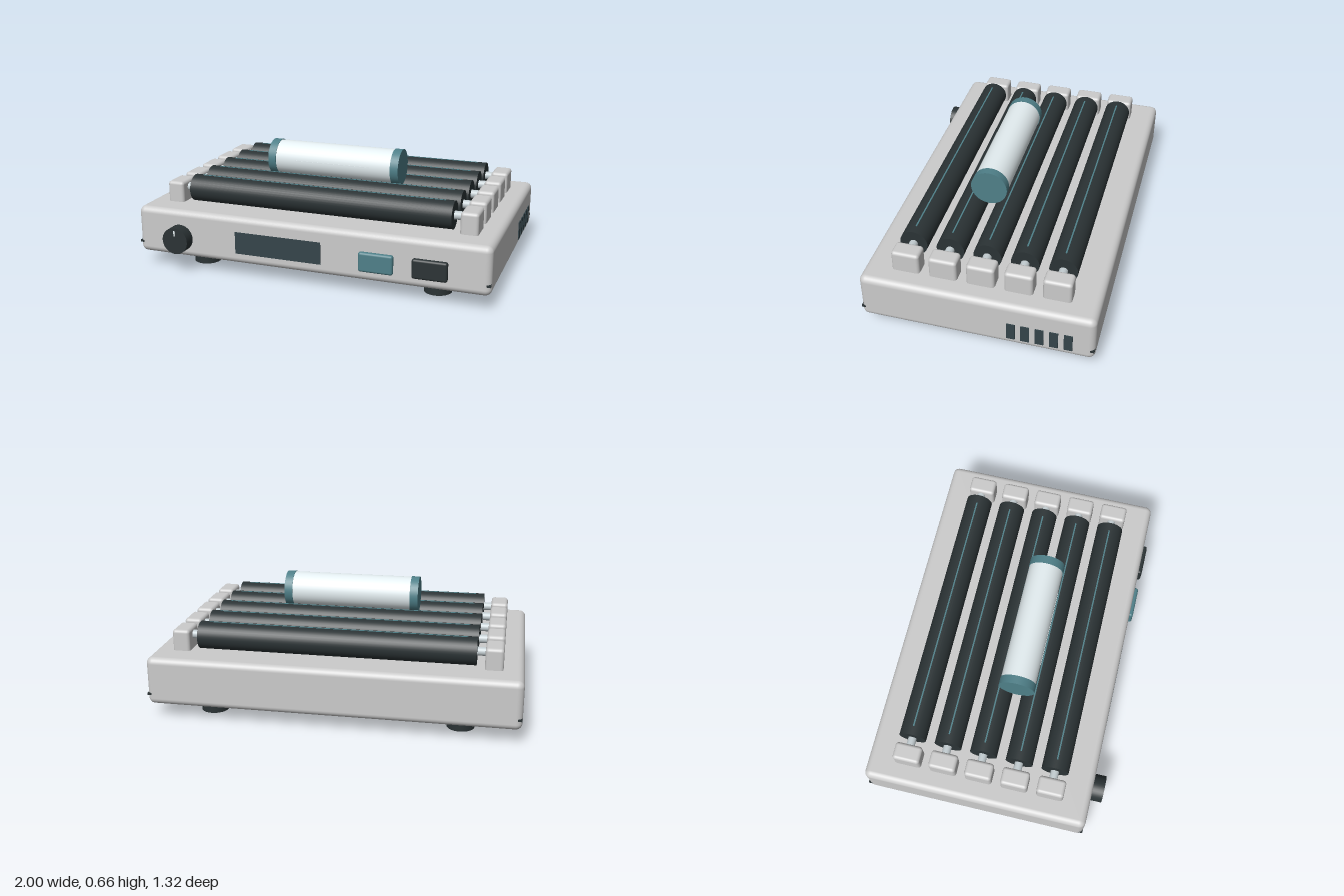
import * as THREE from 'three';
import { RoundedBoxGeometry } from 'three/addons/geometries/RoundedBoxGeometry.js';

const mat = (color) => new THREE.MeshStandardMaterial({ color });
const grey = mat(0xcccccc);
const dark = mat(0x2b3335);
const panel = mat(0x34444a);
const teal = mat(0x4f8089);
const steel = mat(0xc4ced2);
const pale = mat(0xe4eef1);

export function createModel() {
  const model = new THREE.Group();

  const add = (name, geometry, material, x, y, z, parent = model) => {
    const mesh = new THREE.Mesh(geometry, material);
    mesh.name = name;
    mesh.position.set(x, y, z);
    parent.add(mesh);
    return mesh;
  };
  const box = (w, h, d) => new THREE.BoxGeometry(w, h, d);
  const rounded = (w, h, d, r) => new RoundedBoxGeometry(w, h, d, 4, r);
  const rod = (r, length) => new THREE.CylinderGeometry(r, r, length, 40).rotateZ(Math.PI / 2);

  // Housing with a seam strip that shows only at the rounded corners
  add('housing', rounded(1.995, 0.265, 1.246, 0.035), grey, -0.0025, 0.2125, -0.035);
  add('seam', box(1.992, 0.012, 1.242), dark, -0.0025, 0.14, -0.035);

  // Feet
  for (const x of [-0.68, 0.68]) {
    for (const z of [0.39, -0.46]) {
      add('foot', new THREE.CylinderGeometry(0.075, 0.075, 0.085, 32), dark, x, 0.0425, z);
    }
  }

  // Five rollers, each on an axle between two bearing blocks
  for (let i = 0; i < 5; i++) {
    const roller = new THREE.Group();
    roller.name = 'rollerUnit';
    roller.position.z = 0.365 - i * 0.2;
    model.add(roller);
    add('axle', rod(0.023, 1.64), steel, 0, 0.42, 0, roller);
    add('roller', rod(0.075, 1.5), dark, 0, 0.42, 0, roller);
    add('rollerStripe', box(1.4, 0.006, 0.008), teal, 0, 0.4935, 0, roller);
    for (const side of [-1, 1]) {
      add('bearingBlock', rounded(0.096, 0.14, 0.15, 0.018), grey, side * 0.842, 0.391, 0, roller);
    }
  }

  // Sample tube resting between two rollers
  const tube = new THREE.Group();
  tube.name = 'sampleTube';
  tube.position.set(-0.005, 0.564, 0.065);
  model.add(tube);
  add('tubeBody', rod(0.097, 0.7), pale, 0, 0, 0, tube);
  for (const side of [-1, 1]) {
    add('tubeCap', rod(0.1, 0.046), teal, side * 0.362, 0, 0, tube);
  }
  add('tubeMark', box(0.44, 0.008, 0.004), pale, 0, 0.003, 0.0965, tube);

  // Front controls: knob, display and two buttons
  const knob = new THREE.CylinderGeometry(0.075, 0.075, 0.07, 40).rotateX(Math.PI / 2);
  add('knob', knob, dark, -0.74, 0.19, 0.618);
  add('knobPointer', box(0.007, 0.03, 0.008), pale, -0.74, 0.234, 0.654);
  add('display', box(0.495, 0.123, 0.012), panel, -0.157, 0.201, 0.584);
  add('startButton', rounded(0.187, 0.107, 0.032, 0.013), teal, 0.397, 0.19, 0.595);
  add('stopButton', rounded(0.187, 0.107, 0.032, 0.013), dark, 0.683, 0.19, 0.595);

  // Vent slots on the left side
  for (let i = 0; i < 5; i++) {
    add('ventSlot', box(0.014, 0.102, 0.045), panel, 0.993, 0.175, -0.224 - i * 0.0745);
  }

  return model;
}
